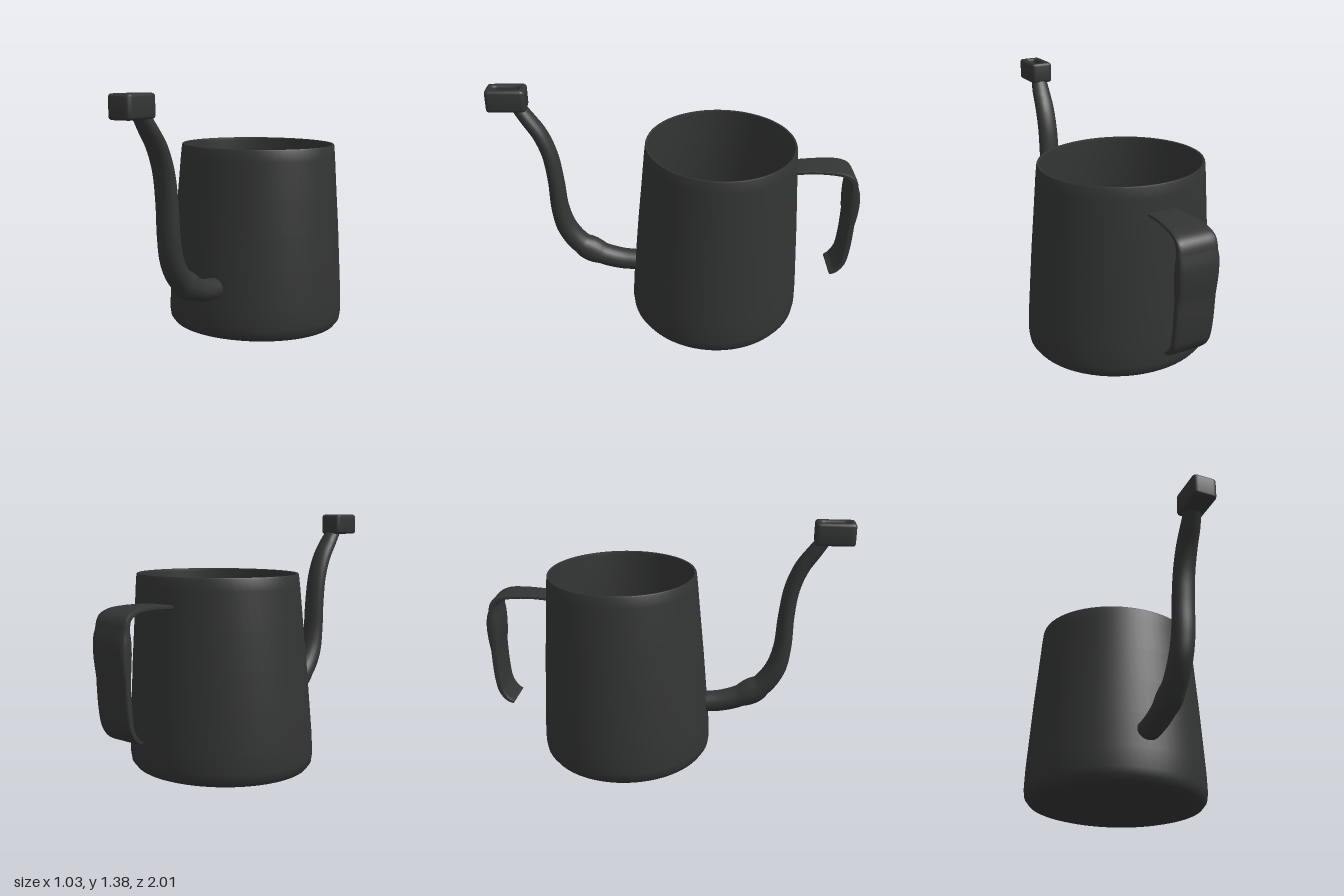
import * as THREE from 'three';
import { toCreasedNormals } from 'three/addons/utils/BufferGeometryUtils.js';

const material = new THREE.MeshStandardMaterial({ color: 0x333434, side: THREE.DoubleSide });

function part(name, geometry, crease = 0.7) {
  const mesh = new THREE.Mesh(toCreasedNormals(geometry, crease), material);
  mesh.name = name;
  return mesh;
}

// Sweeps a closed section along stations [x, y, z, halfWidth, halfThickness].
// power 1 gives an ellipse, smaller values a rounded rectangle.
function sweep(stations, steps, sides, power) {
  const path = new THREE.CatmullRomCurve3(stations.map(s => new THREE.Vector3(s[0], s[1], s[2])));
  const size = new THREE.CatmullRomCurve3(stations.map(s => new THREE.Vector3(s[3], s[4], 0)));
  const across = new THREE.Vector3(1, 0, 0);
  const bend = v => Math.sign(v) * Math.pow(Math.abs(v), power);
  const positions = [], index = [];
  for (let i = 0; i <= steps; i++) {
    const t = i / steps, c = path.getPoint(t), s = size.getPoint(t);
    const tangent = path.getTangent(t).setX(0).normalize();
    const normal = tangent.cross(across);
    for (let j = 0; j < sides; j++) {
      const a = (j / sides) * Math.PI * 2;
      const p = c.clone().addScaledVector(across, s.x * bend(Math.cos(a)))
        .addScaledVector(normal, s.y * bend(Math.sin(a)));
      positions.push(p.x, p.y, p.z);
    }
  }
  for (let i = 0; i < steps; i++) {
    for (let j = 0; j < sides; j++) {
      const a = i * sides + j, b = i * sides + (j + 1) % sides;
      index.push(a, b, a + sides, b, b + sides, a + sides);
    }
  }
  // end caps
  const last = steps * sides;
  for (let j = 1; j < sides - 1; j++) {
    index.push(0, j + 1, j, last, last + j, last + j + 1);
  }
  const g = new THREE.BufferGeometry();
  g.setAttribute('position', new THREE.Float32BufferAttribute(positions, 3));
  g.setIndex(index);
  return g;
}

function roundedRect(path, w, h, r) {
  const x = w / 2, y = h / 2;
  path.moveTo(-x + r, -y);
  path.lineTo(x - r, -y).quadraticCurveTo(x, -y, x, -y + r);
  path.lineTo(x, y - r).quadraticCurveTo(x, y, x - r, y);
  path.lineTo(-x + r, y).quadraticCurveTo(-x, y, -x, y - r);
  path.lineTo(-x, -y + r).quadraticCurveTo(-x, -y, -x + r, -y);
  return path;
}

export function createModel() {
  const group = new THREE.Group();
  group.name = 'pouringPot';

  // tapered pot: outer wall, rim, inner wall and floor
  const profile = [
    [0, 0], [0.3, 0.003], [0.45, 0.012], [0.49, 0.024], [0.51, 0.05], [0.516, 0.09],
    [0.513, 0.2], [0.5, 0.4], [0.487, 0.6], [0.471, 0.8], [0.456, 1.0], [0.45, 1.06],
    [0.447, 1.066], [0.437, 1.064], [0.435, 1.05], [0.467, 0.6], [0.494, 0.12],
    [0.47, 0.06], [0, 0.045],
  ].map(([r, y]) => new THREE.Vector2(r, y));
  const pot = new THREE.LatheGeometry(profile, 64);
  // slightly oval, leaning back towards the rim
  const pos = pot.attributes.position;
  for (let i = 0; i < pos.count; i++) {
    const y = pos.getY(i);
    pos.setX(i, pos.getX(i) + 0.005 * y);
    pos.setZ(i, pos.getZ(i) * (0.928 - 0.01 * y) - 0.222 - 0.02 * y);
  }
  group.add(part('pot', pot));

  // curved spout
  group.add(part('spout', sweep([
    [-0.005, 0.305, 0.235, 0.064, 0.058],
    [-0.005, 0.315, 0.32, 0.064, 0.06],
    [-0.005, 0.35, 0.43, 0.065, 0.062],
    [-0.005, 0.42, 0.545, 0.065, 0.062],
    [-0.004, 0.53, 0.622, 0.064, 0.058],
    [0, 0.66, 0.655, 0.063, 0.05],
    [0, 0.84, 0.667, 0.062, 0.045],
    [-0.002, 1.0, 0.69, 0.06, 0.043],
    [-0.006, 1.12, 0.735, 0.058, 0.042],
    [-0.012, 1.21, 0.795, 0.054, 0.04],
    [-0.02, 1.29, 0.85, 0.045, 0.035],
  ], 60, 24, 1)));

  // box-shaped spout tip with a slot in its top
  const outline = roundedRect(new THREE.Shape(), 0.13, 0.21, 0.025);
  outline.holes.push(roundedRect(new THREE.Path(), 0.06, 0.145, 0.025));
  const tip = new THREE.ExtrudeGeometry(outline, {
    depth: 0.09, bevelThickness: 0.015, bevelSize: 0.015, bevelOffset: -0.015,
    bevelSegments: 3, curveSegments: 5,
  });
  tip.rotateX(-Math.PI / 2).translate(-0.025, 1.275, 0.895);
  group.add(part('spoutTip', tip));
  const tipFloor = new THREE.BoxGeometry(0.095, 0.045, 0.175).translate(-0.025, 1.2835, 0.895);
  group.add(part('spoutTipFloor', tipFloor));

  // strap handle, widening away from the pot
  group.add(part('handle', sweep([
    [0.01, 0.915, -0.645, 0.08, 0.012],
    [0.012, 0.922, -0.74, 0.085, 0.011],
    [0.015, 0.922, -0.84, 0.095, 0.011],
    [0.018, 0.912, -0.915, 0.102, 0.013],
    [0.02, 0.885, -0.96, 0.107, 0.018],
    [0.02, 0.83, -0.976, 0.109, 0.022],
    [0.02, 0.6, -0.977, 0.109, 0.022],
    [0.02, 0.42, -0.967, 0.109, 0.02],
    [0.02, 0.345, -0.952, 0.107, 0.018],
    [0.02, 0.295, -0.918, 0.105, 0.014],
    [0.02, 0.275, -0.885, 0.1, 0.009],
  ], 60, 24, 0.35)));

  return group;
}
